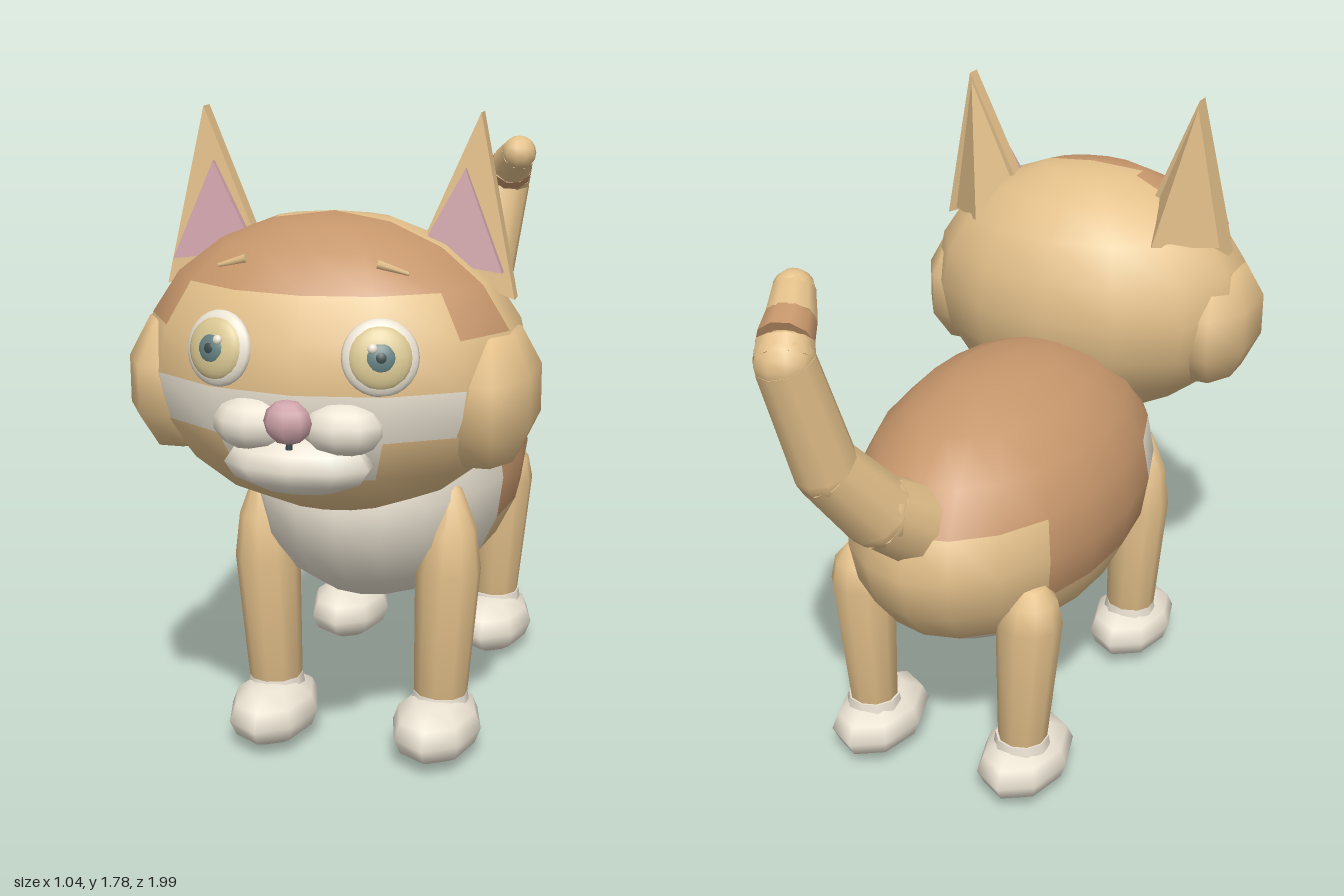
import * as THREE from 'three';
import { ConvexGeometry } from 'three/addons/geometries/ConvexGeometry.js';

const TAN = 0xe3c08a, BROWN = 0xc6966b, WHITE = 0xeae2d2, PINK = 0xcda2a8;
const TEAL = 0x648080, DARK = 0x3c4a4c, EYE = 0xd9c792;
const V = (x, y, z) => new THREE.Vector3(x, y, z);

function mesh(name, geo, color, flat = false) {
  const m = new THREE.Mesh(geo, new THREE.MeshStandardMaterial({ color, flatShading: flat }));
  m.name = name;
  return m;
}

// Ellipsoid with baked position and radii
function ball(name, pos, rad, color, w = 10, h = 7, phase = Math.PI / 2) {
  const g = new THREE.SphereGeometry(1, w, h, phase).scale(...rad).translate(...pos);
  return mesh(name, g, color);
}

// Ellipsoid whose cells are coloured by row (from the top) and column (from the front)
function patchedBall(name, pos, rad, w, h, colorOf) {
  const group = new THREE.Group();
  group.name = name;
  const base = new THREE.SphereGeometry(1, w, h, Math.PI / 2).scale(...rad).translate(...pos);
  const cells = new Map();
  for (let j = 0; j < h; j++) {
    for (let i = 0; i < w; i++) {
      const color = colorOf(j, Math.min(i, w - 1 - i), i < w / 2);
      if (!cells.has(color)) cells.set(color, []);
      const b = j * (w + 1) + i, a = b + 1, c = b + w + 1, d = c + 1;
      if (j > 0) cells.get(color).push(a, b, d);
      if (j < h - 1) cells.get(color).push(b, c, d);
    }
  }
  const names = { [TAN]: 'Fur', [BROWN]: 'Marking', [WHITE]: 'PaleFur' };
  for (const [color, index] of cells) {
    const g = base.clone();
    g.setIndex(index);
    group.add(mesh(name + names[color], g.toNonIndexed(), color));
  }
  return group;
}

// Tapered round link between two points
function link(name, a, b, ra, rb, color, sides = 10) {
  const dir = b.clone().sub(a);
  const m = mesh(name, new THREE.CylinderGeometry(rb, ra, dir.length(), sides, 1), color);
  m.position.copy(a).add(b).multiplyScalar(0.5);
  m.quaternion.setFromUnitVectors(V(0, 1, 0), dir.normalize());
  return m;
}

function makeEar(s) {
  const ear = new THREE.Group();
  ear.name = s > 0 ? 'leftEar' : 'rightEar';
  const hull = (pts) => new ConvexGeometry(pts.map(([x, y, z]) => V(s * x, y, z)));
  // front plate, back wedge and pink inside
  ear.add(mesh('earPlate', hull([
    [0.36, 1.785, 0.49], [0.205, 1.43, 0.52], [0.457, 1.33, 0.525],
    [0.36, 1.785, 0.445], [0.205, 1.43, 0.475], [0.457, 1.33, 0.48]]), TAN, true));
  ear.add(mesh('earBack', hull([
    [0.358, 1.77, 0.45], [0.22, 1.43, 0.48], [0.43, 1.35, 0.48], [0.28, 1.38, 0.315]]), TAN, true));
  ear.add(mesh('innerEar', hull([
    [0.328, 1.65, 0.52], [0.21, 1.43, 0.555], [0.43, 1.40, 0.555],
    [0.328, 1.65, 0.505], [0.21, 1.43, 0.53], [0.43, 1.40, 0.53]]), PINK, true));
  return ear;
}

function makeEye(s) {
  const eye = new THREE.Group();
  eye.name = s > 0 ? 'leftEye' : 'rightEye';
  eye.position.set(s * 0.2, 1.245, 0.857);
  eye.lookAt(s * 0.52, 1.46, 1.857);
  const disc = (name, x, y, z, r, d, color) => eye.add(ball(name, [x, y, z], [r, r, d], color, 20, 14));
  disc('eyeRim', 0, 0, 0, 0.093, 0.03, WHITE);
  disc('eyeball', 0, 0, 0.009, 0.078, 0.03, EYE);
  disc('iris', 0, 0, 0.022, 0.043, 0.022, TEAL);
  disc('pupil', 0, 0, 0.032, 0.02, 0.014, DARK);
  disc('eyeGlint', -s * 0.02, 0.022, 0.037, 0.012, 0.01, WHITE);
  return eye;
}

function makeLeg(s, front) {
  const leg = new THREE.Group();
  leg.name = (front ? 'front' : 'hind') + (s > 0 ? 'Left' : 'Right') + 'Leg';
  const profile = front
    ? [[0, 0.12], [0.073, 0.14], [0.09, 0.54], [0.07, 0.66], [0.025, 0.77], [0, 0.79]]
    : [[0, 0.12], [0.067, 0.14], [0.092, 0.56], [0.075, 0.63], [0.04, 0.67], [0, 0.675]];
  const limb = new THREE.LatheGeometry(profile.map(([x, y]) => new THREE.Vector2(x, y)), 10);
  const p = limb.attributes.position;
  // lean outward with height
  for (let i = 0; i < p.count; i++) p.setX(i, p.getX(i) + s * (0.23 + 0.05 * p.getY(i)));
  limb.translate(0, 0, front ? 0.35 : -0.45);
  leg.add(mesh('limb', limb, TAN));
  const z = front ? 0.38 : -0.42;
  leg.add(ball('paw', [s * 0.235, 0.094, z], [0.125, 0.09, 0.187], WHITE, 8, 6));
  const cuff = new THREE.CylinderGeometry(0.075, 0.08, 0.03, 10).translate(s * 0.238, 0.17, front ? 0.35 : -0.45);
  leg.add(mesh('cuff', cuff, WHITE));
  return leg;
}

function makeTail() {
  const tail = new THREE.Group();
  tail.name = 'tail';
  const pts = [V(0.02, 0.87, -0.59), V(0.055, 0.95, -0.70), V(0.12, 1.12, -0.83), V(0.165, 1.43, -0.915),
    V(0.18, 1.465, -0.885), V(0.2, 1.495, -0.825), V(0.235, 1.54, -0.75)];
  const radii = [0.112, 0.1, 0.086, 0.078, 0.073, 0.066, 0.055];
  for (let i = 0; i < pts.length - 1; i++) {
    tail.add(link('tailLink', pts[i], pts[i + 1], radii[i], radii[i + 1], i === 4 ? BROWN : TAN));
  }
  // rounded joints and tip
  for (const i of [1, 2, 3, 6]) {
    tail.add(ball('tailJoint', pts[i].toArray(), [radii[i], radii[i], radii[i]], TAN, 10, 8));
  }
  return tail;
}

export function createModel() {
  const cat = new THREE.Group();
  cat.name = 'cat';

  // body: brown saddle, pale chest and belly
  cat.add(patchedBall('body', [0, 0.744, -0.058], [0.385, 0.389, 0.635], 20, 10, (j, k) => {
    if (j < 4) return BROWN;
    if (j > 6 || k < 4) return WHITE;
    return j < 6 && k < 7 ? BROWN : TAN;
  }));
  cat.add(ball('chestTuft', [0, 0.78, 0.46], [0.18, 0.13, 0.11], WHITE, 8, 5));

  // head: brown cap, pale mouth area
  cat.add(patchedBall('head', [0, 1.154, 0.54], [0.5, 0.385, 0.375], 14, 10, (j, k, left) => {
    if (j < 3 && k < 3) return BROWN;
    if (j === 1 && k === 3 && !left) return BROWN;
    if (j === 3 && k === 2) return BROWN;
    if ((j === 5 && k < 2) || (j === 6 && k < 1)) return WHITE;
    return TAN;
  }));

  // muzzle
  cat.add(ball('chin', [0, 0.975, 0.865], [0.19, 0.075, 0.1], WHITE, 10, 6));
  cat.add(ball('nose', [0, 1.1, 0.953], [0.06, 0.055, 0.043], PINK, 8, 6));
  cat.add(link('mouthLine', V(0, 1.07, 0.94), V(0, 1.03, 0.945), 0.008, 0.008, DARK, 6));

  for (const s of [1, -1]) {
    cat.add(ball('muzzleLobe', [s * 0.11, 1.07, 0.865], [0.105, 0.07, 0.085], WHITE, 10, 7));
    cat.add(ball('cheek', [s * 0.4, 1.1, 0.56], [0.138, 0.2, 0.235], TAN, 8, 5, Math.PI / 8));
    cat.add(link('brow', V(s * 0.165, 1.446, 0.745), V(s * 0.24, 1.424, 0.738), 0.012, 0.005, TAN, 6));
    cat.add(makeEar(s), makeEye(s), makeLeg(s, true), makeLeg(s, false));
  }
  cat.add(makeTail());
  return cat;
}
